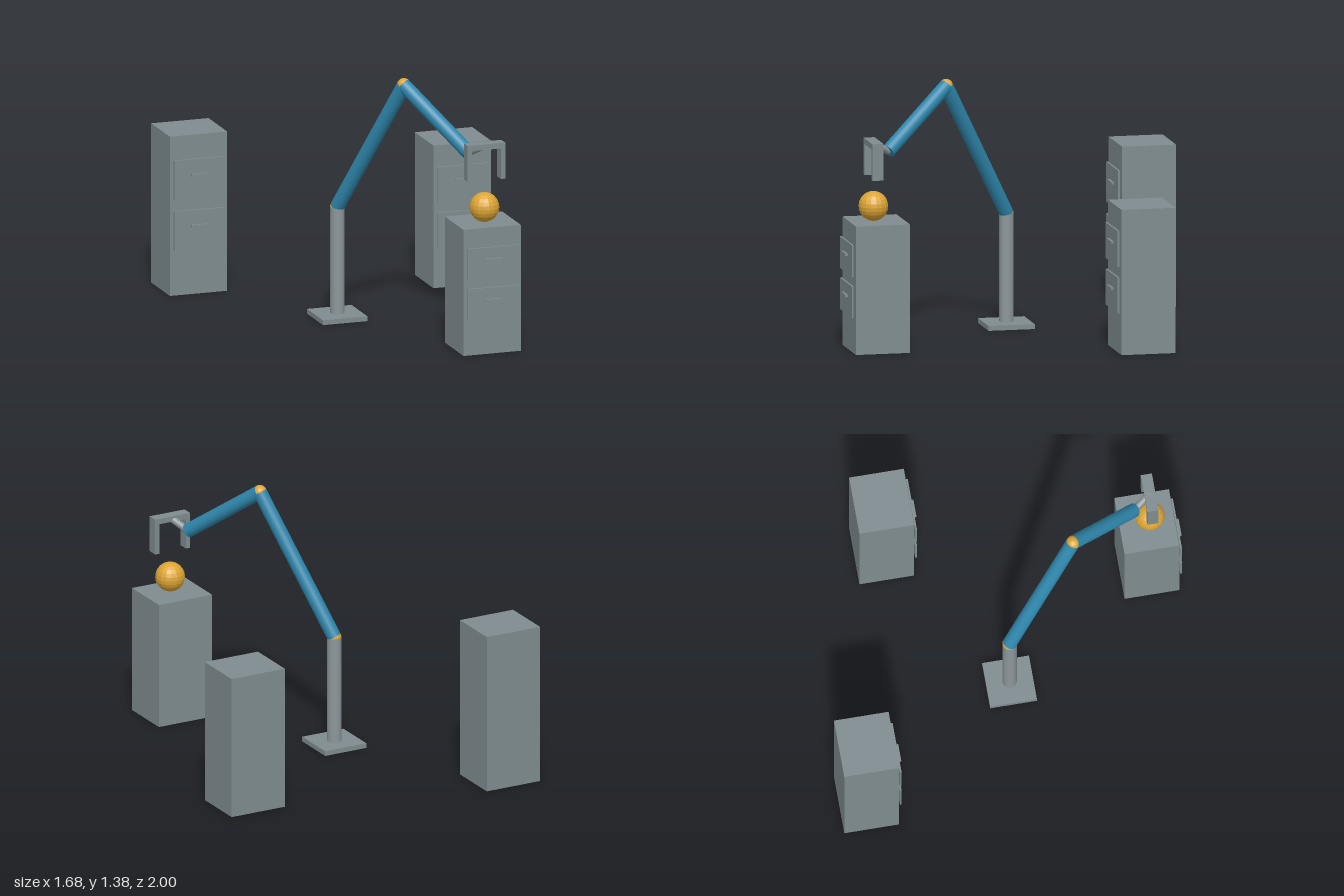
import * as THREE from 'three';

export function createModel() {
  const model = new THREE.Group();
  model.name = 'armAndCabinets';

  const mat = (name, color) => {
    const m = new THREE.MeshStandardMaterial({ color });
    m.name = name;
    return m;
  };
  const steel = mat('cabinetGrey', 0x7f8c8f);
  const pale = mat('columnGrey', 0x8c969b);
  const blue = mat('armBlue', 0x2e86ab);
  const gold = mat('jointGold', 0xdca534);

  const add = (parent, name, geometry, material, x, y, z) => {
    const mesh = new THREE.Mesh(geometry, material);
    mesh.name = name;
    mesh.position.set(x, y, z);
    parent.add(mesh);
    return mesh;
  };
  const box = (parent, name, material, w, h, d, x, y, z) =>
    add(parent, name, new THREE.BoxGeometry(w, h, d), material, x, y, z);

  // Round bar running from point a to point b
  const bar = (name, a, b, r, material) => {
    const dir = b.clone().sub(a);
    const mid = a.clone().add(b).multiplyScalar(0.5);
    const mesh = add(model, name, new THREE.CylinderGeometry(r, r, dir.length(), 24), material, mid.x, mid.y, mid.z);
    mesh.quaternion.setFromUnitVectors(new THREE.Vector3(0, 1, 0), dir.normalize());
  };

  // Faceted sphere
  const ball = (name, r, p) => {
    const g = new THREE.SphereGeometry(r, 16, 12).toNonIndexed();
    g.computeVertexNormals();
    add(model, name, g, gold, p.x, p.y, p.z);
  };

  // Two-drawer cabinet: drawer sizes follow the cabinet height
  const cabinet = (name, x, z, h) => {
    const g = new THREE.Group();
    g.name = name;
    g.position.set(x, 0, z);
    box(g, 'cabinetBody', steel, 0.32, h, 0.292, 0, h / 2, 0);
    for (const level of [0.728, 0.408]) {
      box(g, 'drawerFront', steel, 0.283, h * 0.246, 0.01, 0, h * level, 0.159);
      box(g, 'drawerHandle', steel, 0.095, 0.013, 0.014, 0, h * (level + 0.025), 0.171);
    }
    model.add(g);
  };
  cabinet('tallCabinet', -0.68, -0.854, 0.867);
  cabinet('middleCabinet', 0.68, -0.539, 0.776);
  cabinet('shortCabinet', 0.363, 0.822, 0.686);

  // Arm
  const foot = new THREE.Vector3(-0.157, 0.026, 0);
  const shoulder = new THREE.Vector3(-0.157, 0.605, 0);
  const elbow = new THREE.Vector3(0.08, 1.338, 0.38);
  const wrist = new THREE.Vector3(0.31, 1.043, 0.745);
  const grip = new THREE.Vector3(0.367, 1.098, 0.838);
  box(model, 'basePlate', steel, 0.248, 0.026, 0.25, foot.x, 0.013, 0);
  bar('column', foot, shoulder, 0.038, pale);
  bar('upperArm', shoulder, elbow, 0.038, blue);
  bar('forearm', elbow, wrist, 0.038, blue);
  bar('wristRod', wrist, grip, 0.019, pale);
  ball('shoulderJoint', 0.038, shoulder);
  ball('elbowJoint', 0.038, elbow);

  // Gripper: top bar with two fingers
  box(model, 'gripperBar', steel, 0.21, 0.03, 0.06, grip.x, grip.y, grip.z);
  for (const side of [-1, 1])
    box(model, 'gripperFinger', steel, 0.025, 0.168, 0.06, grip.x + side * 0.0925, 1.001, grip.z);

  // Ball resting on the short cabinet
  ball('ball', 0.079, new THREE.Vector3(0.366, 0.765, 0.838));

  return model;
}
